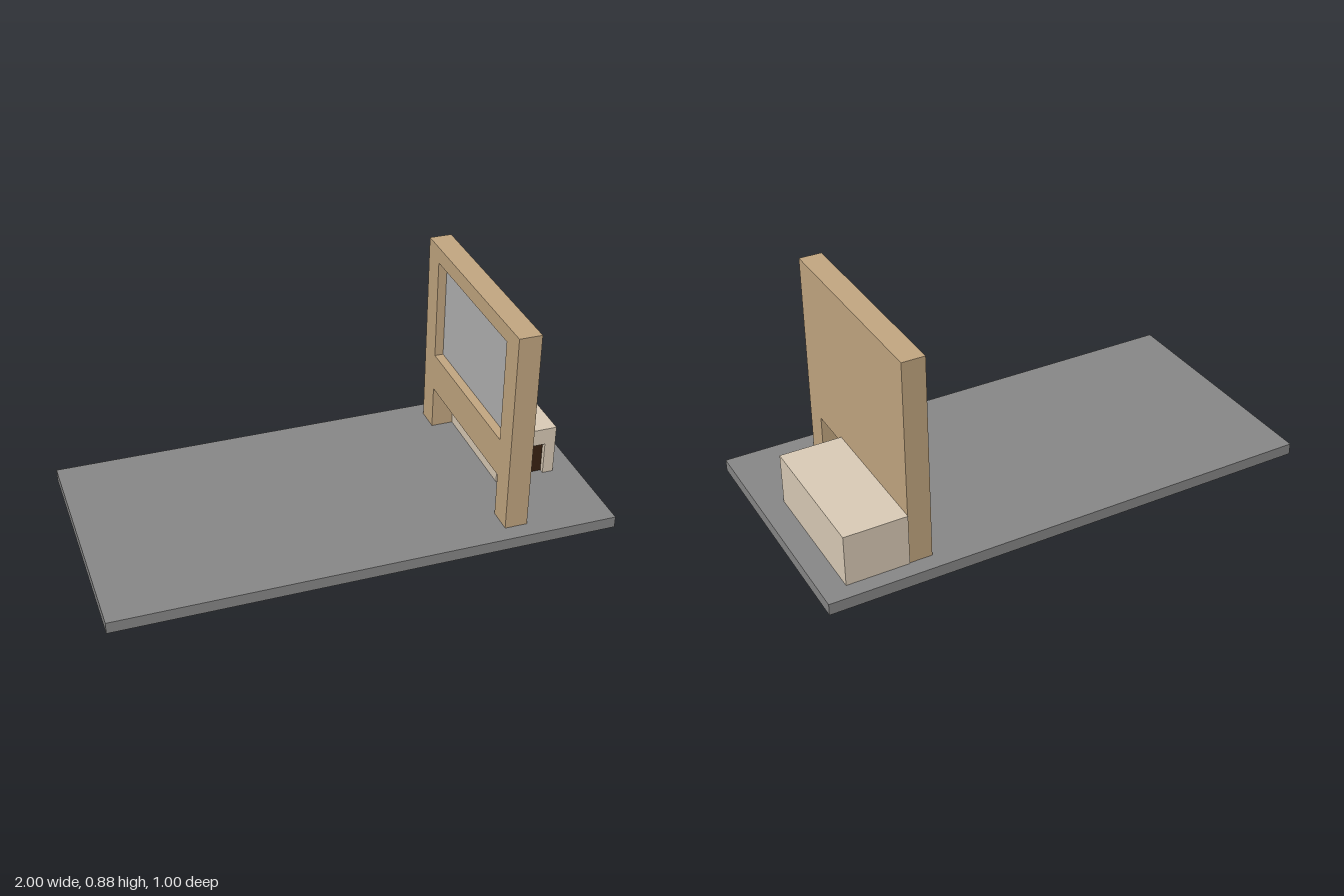
import * as THREE from 'three';

const material = (color) => new THREE.MeshStandardMaterial({ color });

// Box given by its min and max corners
function block(name, min, max, mat) {
  const size = max.map((v, i) => v - min[i]);
  const mesh = new THREE.Mesh(new THREE.BoxGeometry(...size), mat);
  mesh.position.set(...max.map((v, i) => (v + min[i]) / 2));
  mesh.name = name;
  return mesh;
}

// Upside-down U outline: a rectangle with a doorway cut from its bottom edge
function portal(left, right, bottom, top, inLeft, inRight, inTop) {
  return new THREE.Shape([
    [left, bottom], [inLeft, bottom], [inLeft, inTop], [inRight, inTop],
    [inRight, bottom], [right, bottom], [right, top], [left, top],
  ].map(([x, y]) => new THREE.Vector2(x, y)));
}

const extrude = (shape, depth) =>
  new THREE.ExtrudeGeometry(shape, { depth, bevelEnabled: false });

export function createModel() {
  const model = new THREE.Group();
  const grey = material(0x888888);
  const wood = material(0xc4a882);
  const cream = material(0xdccdb8);
  const dark = material(0x3a2312);
  const screenGrey = material(0xb4b4b4);
  const floorY = 0.047;

  // Floor slab
  model.add(block('floor', [-1, 0, -0.5], [1, floorY, 0.5], grey));

  // Standing frame: a windowed layer facing -x, backed by a plain layer
  const stand = new THREE.Group();
  stand.name = 'standingFrame';
  const wallShape = () => portal(-0.431, 0.431, floorY, 0.88, -0.33, 0.33, 0.23);
  const windowed = wallShape();
  windowed.holes.push(new THREE.Path([
    [-0.33, 0.39], [-0.33, 0.815], [0.33, 0.815], [0.33, 0.39],
  ].map(([x, y]) => new THREE.Vector2(x, y))));
  for (const [name, shape, x, depth] of [
    ['frameFace', windowed, 0.565, 0.042],
    ['frameBacking', wallShape(), 0.607, 0.049],
  ]) {
    const layer = new THREE.Mesh(extrude(shape, depth).rotateY(Math.PI / 2), wood);
    layer.position.x = x;
    layer.name = name;
    stand.add(layer);
  }
  stand.add(block('recessedPanel', [0.601, 0.39, -0.33], [0.612, 0.815, 0.33], screenGrey));
  model.add(stand);

  // Low shelter behind the frame, with a dark doorway facing the front
  const shelter = new THREE.Group();
  shelter.name = 'shelter';
  const shell = new THREE.Mesh(
    extrude(portal(0.656, 0.905, floorY, 0.256, 0.7, 0.86, 0.185), 0.505), cream);
  shell.position.z = -0.37;
  shell.name = 'shelterShell';
  shelter.add(
    shell,
    block('shelterBack', [0.656, floorY, -0.435], [0.905, 0.256, -0.37], cream),
    block('doorwayInterior', [0.7, floorY, -0.37], [0.86, 0.185, 0.115], dark),
  );
  model.add(shelter);

  return model;
}
